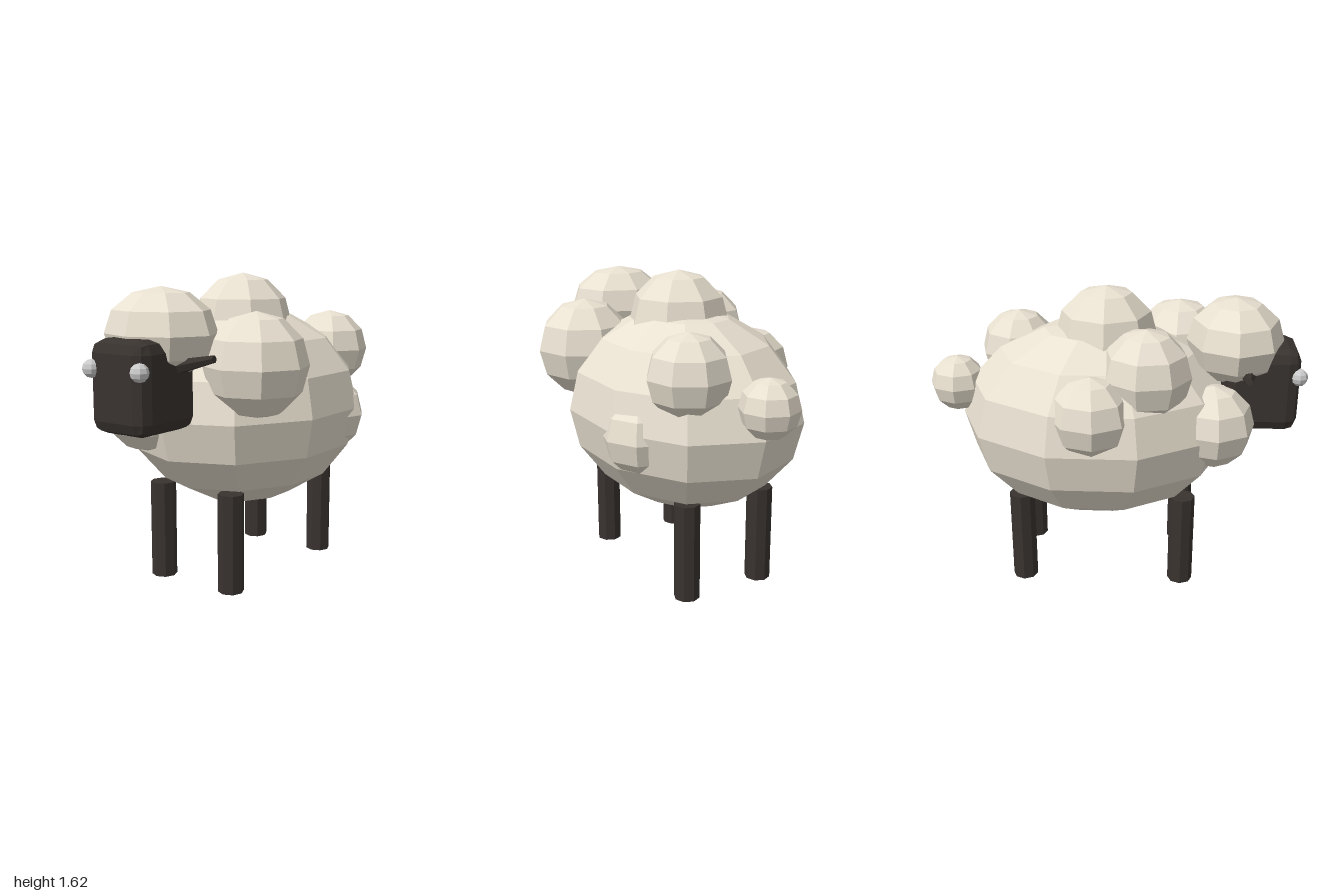
import * as THREE from 'three';
import { RoundedBoxGeometry } from 'three/addons/geometries/RoundedBoxGeometry.js';

export function createModel() {
  const sheep = new THREE.Group();
  sheep.name = 'sheep';

  const flat = (color) => new THREE.MeshStandardMaterial({ color, flatShading: true });
  const wool = flat(0xe8e0d0);
  const dark = flat(0x39332f);
  const white = flat(0xf4f4f4);

  function add(name, geometry, material, x, y, z) {
    const mesh = new THREE.Mesh(geometry, material);
    mesh.name = name;
    mesh.position.set(x, y, z);
    sheep.add(mesh);
    return mesh;
  }

  // Body: ten-sided ellipsoid with an edge line along the spine
  const bodyGeometry = new THREE.SphereGeometry(1, 10, 8).rotateY(Math.PI / 2).scale(0.59, 0.53, 0.74);
  add('body', bodyGeometry, wool, 0.005, 0.9, -0.09);

  // Tufts of wool: name, centre, radius, turn
  const puffs = [
    ['backPuff', 0.005, 1.35, -0.045, 0.27, 0],
    ['leftShoulderPuff', 0.365, 1.18, 0.345, 0.265, -0.08],
    ['rightShoulderPuff', -0.285, 1.245, 0.17, 0.235, -0.2],
    ['rightFlankPuff', -0.425, 1.07, -0.1, 0.21, 0.1],
    ['leftFlankPuff', 0.37, 0.86, -0.31, 0.22, 0.1],
    ['leftRumpPuff', 0.255, 1.19, -0.545, 0.215, -0.15],
    ['chestPuff', -0.195, 0.935, 0.52, 0.22, 0.1],
    ['tail', 0.005, 1.07, -0.85, 0.15, 0],
  ];
  for (const [name, x, y, z, r, turn] of puffs) {
    add(name, new THREE.SphereGeometry(r, 8, 6), wool, x, y, z).rotation.y = turn;
  }

  // Forelock: flattened tuft on top of the head
  add('forelock', new THREE.SphereGeometry(1, 8, 6).scale(0.295, 0.225, 0.255), wool, 0.005, 1.34, 0.63);

  // Head
  add('head', new RoundedBoxGeometry(0.345, 0.45, 0.4, 1, 0.065), dark, 0.005, 1.105, 0.765);

  for (const side of [-1, 1]) {
    const label = side > 0 ? 'left' : 'right';

    // Eyes
    add(label + 'Eye', new THREE.SphereGeometry(0.045, 8, 6), white, 0.005 + side * 0.15, 1.19, 0.955);

    // Ears: tapered and slightly raised outwards
    const from = new THREE.Vector3(side * 0.12, 1.185, 0.7);
    const to = new THREE.Vector3(0.003 + side * 0.36, 1.242, 0.678);
    const along = to.clone().sub(from);
    const ear = add(label + 'Ear', new THREE.CylinderGeometry(0.019, 0.042, along.length(), 6), dark, 0, 0, 0);
    ear.position.copy(from).add(to).multiplyScalar(0.5);
    ear.quaternion.setFromUnitVectors(new THREE.Vector3(0, 1, 0), along.normalize());

    // Legs
    for (const [end, z] of [['Front', 0.375], ['Back', -0.495]]) {
      add(label + end + 'Leg', new THREE.CylinderGeometry(0.068, 0.068, 0.52, 8), dark, 0.006 + side * 0.225, 0.26, z);
    }
  }

  return sheep;
}
